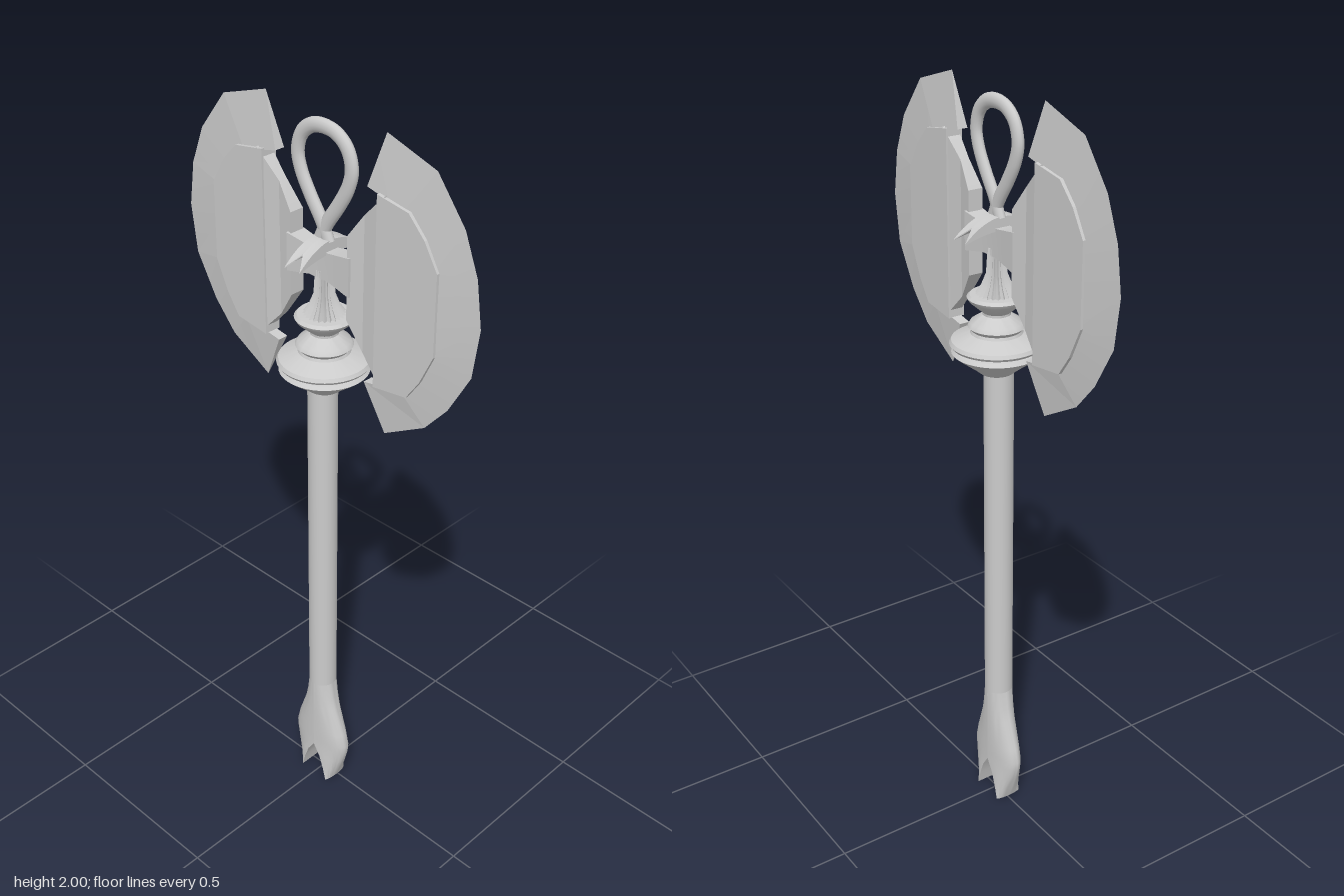
import * as THREE from 'three';
import { toCreasedNormals } from 'three/addons/utils/BufferGeometryUtils.js';

const material = new THREE.MeshStandardMaterial({ color: 0xcccccc });

function add(parent, name, geometry) {
  const mesh = new THREE.Mesh(geometry, material);
  mesh.name = name;
  parent.add(mesh);
  return mesh;
}

// Joins closed cross-sections (arrays of [x, y, z]) into a capped solid facing outwards.
function loft(sections, crease = 0.5) {
  const n = sections[0].length, last = sections.length - 1;
  const tris = [];
  for (let i = 0; i < last; i++) {
    for (let j = 0; j < n; j++) {
      const k = (j + 1) % n;
      const a = sections[i][j], b = sections[i][k], c = sections[i + 1][k], d = sections[i + 1][j];
      tris.push([a, b, c], [a, c, d]);
    }
  }
  for (let j = 1; j < n - 1; j++) {
    tris.push([sections[0][0], sections[0][j + 1], sections[0][j]]);
    tris.push([sections[last][0], sections[last][j], sections[last][j + 1]]);
  }
  // The signed volume tells whether the winding must be turned round.
  let volume = 0;
  for (const [a, b, c] of tris) {
    volume += a[0] * (b[1] * c[2] - b[2] * c[1]) + a[1] * (b[2] * c[0] - b[0] * c[2]) + a[2] * (b[0] * c[1] - b[1] * c[0]);
  }
  const points = tris.flatMap(([a, b, c]) => (volume < 0 ? [a, c, b] : [a, b, c])).flat();
  const geometry = new THREE.BufferGeometry();
  geometry.setAttribute('position', new THREE.Float32BufferAttribute(points, 3));
  return toCreasedNormals(geometry, crease);
}

// Rectangle across the x axis.
const slab = (x, y0, y1, z) => [[x, y0, -z], [x, y1, -z], [x, y1, z], [x, y0, z]];

function makeBlade() {
  const blade = new THREE.Group();

  // Crescent edge: sharp outside, thick inside
  const outer = [[0.185, 2], [0.328, 1.955], [0.41, 1.85], [0.45, 1.75], [0.467, 1.635],
    [0.45, 1.51], [0.388, 1.4], [0.323, 1.325], [0.2, 1.255]];
  const inner = [[0.143, 1.87], [0.25, 1.845], [0.3, 1.79], [0.34, 1.73], [0.345, 1.635],
    [0.34, 1.53], [0.3, 1.46], [0.26, 1.4], [0.143, 1.38]];
  add(blade, 'cuttingEdge', loft(outer.map(([x, y], i) => {
    const [u, v] = inner[i];
    return [[x, y, 0], [u, v, 0.014], [u, v, -0.014]];
  }), 0.05));

  // Raised plate, thinning slightly towards the edge
  const outline = [[0.18, 1.385], [0.28, 1.397], [0.317, 1.45], [0.355, 1.53], [0.355, 1.735],
    [0.317, 1.8], [0.27, 1.85], [0.18, 1.866]];
  const shape = new THREE.Shape(outline.map(([x, y]) => new THREE.Vector2(x, y)));
  const plate = new THREE.ExtrudeGeometry(shape, { depth: 2, bevelEnabled: false }).translate(0, 0, -1);
  const pos = plate.attributes.position;
  for (let i = 0; i < pos.count; i++) {
    pos.setZ(i, pos.getZ(i) * (0.023 - 0.02 * (pos.getX(i) - 0.18)));
  }
  plate.computeVertexNormals();
  add(blade, 'bladePlate', plate);

  // Wedge between the hub and the plate
  add(blade, 'bladeRoot', loft([
    slab(0.09, 1.525, 1.737, 0.02), slab(0.135, 1.455, 1.8, 0.012), slab(0.2, 1.385, 1.866, 0.02),
  ], 0.2));
  return blade;
}

export function createModel() {
  const model = new THREE.Group();

  // Shaft
  const shaft = new THREE.CylinderGeometry(0.038, 0.038, 0.98, 32);
  add(model, 'shaft', shaft).position.set(0, 0.83, 0.006);

  // Forked foot: two half-round tines that meet above the notch [y, inner x, outer x]
  const tine = [[0, 0.046, 0.054], [0.04, 0.036, 0.069], [0.08, 0.022, 0.083], [0.115, 0, 0.093],
    [0.14, 0, 0.095], [0.18, 0, 0.085], [0.26, 0, 0.056], [0.3, 0, 0.046], [0.35, 0, 0.038]];
  for (const side of [1, -1]) {
    add(model, side > 0 ? 'leftTine' : 'rightTine', loft(tine.map(([y, a, b]) => {
      const section = [];
      for (let i = 0; i <= 16; i++) {
        const t = (i / 16 - 0.5) * Math.PI;
        section.push([side * (a + (b - a) * Math.cos(t)), y, 0.006 + 0.038 * Math.sin(t)]);
      }
      return section;
    }), 0.6));
  }

  // Stacked collar discs
  const collar = [[0, 1.3], [0.042, 1.3], [0.06, 1.315], [0.1, 1.345], [0.112, 1.355], [0.105, 1.363],
    [0.09, 1.366], [0.112, 1.371], [0.117, 1.378], [0.112, 1.387], [0.065, 1.405], [0.062, 1.412],
    [0.071, 1.422], [0.065, 1.432], [0.035, 1.452], [0.035, 1.458], [0.068, 1.487], [0.073, 1.496],
    [0.066, 1.503], [0, 1.506]];
  const collarShape = new THREE.LatheGeometry(collar.map(([r, y]) => new THREE.Vector2(r, y)), 48);
  add(model, 'collar', toCreasedNormals(collarShape, 0.6));

  // Fluted neck
  const neck = [[1.5, 0.055], [1.525, 0.038], [1.555, 0.026], [1.62, 0.022]];
  add(model, 'flutedNeck', loft(neck.map(([y, r]) => {
    const section = [];
    for (let i = 0; i < 48; i++) {
      const t = (i / 48) * Math.PI * 2, q = i % 2 ? r * 0.82 : r;
      section.push([q * Math.cos(t), y, q * Math.sin(t)]);
    }
    return section;
  }), 0.2));

  // Hub bar joining the two blades
  add(model, 'hub', loft([-0.1, -0.085, -0.06, -0.03, 0.03, 0.06, 0.085, 0.1].map((x) => {
    const flare = Math.max(0, Math.abs(x) - 0.03) / 0.07;
    return slab(x, 1.602 - 0.014 * flare, 1.674 + 0.012 * flare, 0.02 + 0.005 * flare);
  })));

  // Draped band over the hub with swallow-tailed ends, made as two strips
  for (const side of [1, -1]) {
    const sections = [];
    for (let i = 0; i <= 16; i++) {
      const s = i / 8 - 1;
      const corner = (x, reach, drop) => {
        const z = reach * s;
        return [x * side, 1.7 - 4.4 * z * z - drop, z];
      };
      const thick = 0.003 + 0.03 * (1 - s * s);
      sections.push([corner(0, 0.07, 0), corner(0.024, 0.105, 0), corner(0.024, 0.105, thick), corner(0, 0.07, thick)]);
    }
    add(model, side > 0 ? 'leftBandStrip' : 'rightBandStrip', loft(sections));
  }

  // Teardrop loop on top
  const half = [[0.008, 1.735], [0.045, 1.79], [0.074, 1.842], [0.084, 1.885], [0.07, 1.93], [0.038, 1.956]];
  const path = [[-0.014, 1.69], ...half, [0, 1.963], ...half.map(([x, y]) => [-x, y]).reverse(), [0.014, 1.69]];
  const curve = new THREE.CatmullRomCurve3(path.map(([x, y]) => new THREE.Vector3(x, y, 0)));
  const loop = new THREE.TubeGeometry(curve, 72, 0.018, 14, false);
  loop.scale(1, 1, 0.7);
  add(model, 'loop', loop);

  // Blades on both sides
  const left = makeBlade();
  left.name = 'leftBlade';
  const right = makeBlade();
  right.name = 'rightBlade';
  right.rotation.y = Math.PI;
  model.add(left, right);

  return model;
}
